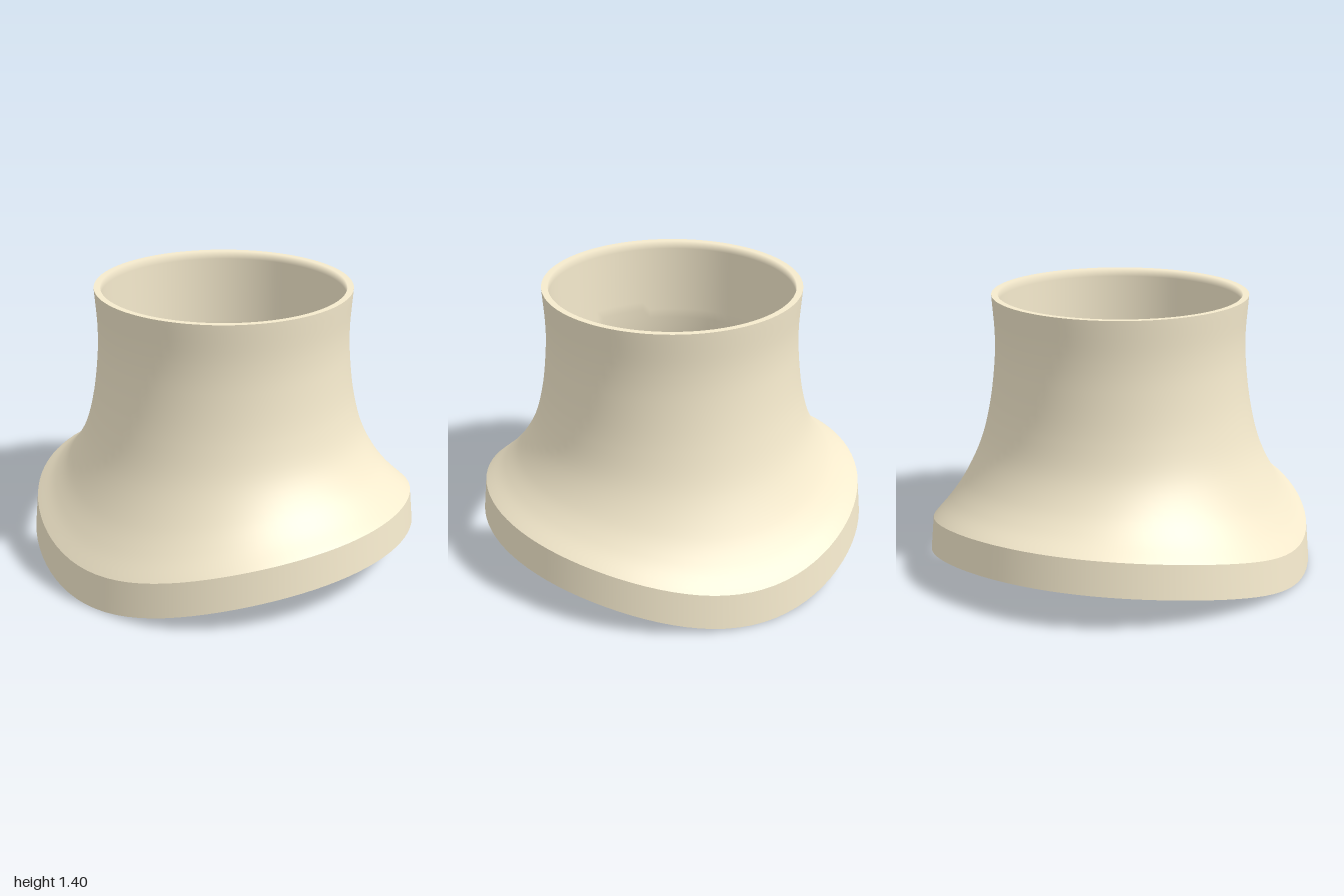
import * as THREE from 'three';
import { ParametricGeometry } from 'three/addons/geometries/ParametricGeometry.js';

const WALL = 0.032, BORE = 0.613, TOP = 1.4, RISE = 0.195;

// Outer wall profiles (radius, height): at the low sides and at the raised front/back
const curve = (pts) => new THREE.CatmullRomCurve3(pts.map(([r, y]) => new THREE.Vector3(r, y, 0)));
const sideProfile = curve([[0.982, 0.18], [0.9, 0.285], [0.82, 0.41], [0.728, 0.61],
  [0.673, 0.82], [0.641, 1.05], [0.635, 1.2], [0.647, TOP]]);
const frontProfile = curve([[0.982, 0.364], [0.885, 0.432], [0.802, 0.515], [0.722, 0.645],
  [0.67, 0.82], [0.64, 1.05], [0.635, 1.2], [0.647, TOP]]);

// Saddle shape of the hem: 0 in the middle (z = 0), 1 at the front and back (z = ±1)
const lift = (z) => 0.5 * z * z + 0.25 * (1 - Math.cos(Math.PI * z));

const outer = (angle, t) =>
  sideProfile.getPoint(t).lerp(frontProfile.getPoint(t), lift(Math.cos(angle)));

// Outer profile moved inwards by the wall thickness, with a straight bore at the neck
function inner(angle, t) {
  const p = outer(angle, t);
  const d = outer(angle, Math.min(1, t + 0.01)).sub(outer(angle, Math.max(0, t - 0.01))).normalize();
  return new THREE.Vector3(
    Math.max(BORE, p.x - d.y * WALL),
    t === 1 ? TOP : Math.min(TOP, p.y + d.x * WALL), 0);
}

const hem = (angle, radius) => new THREE.Vector3(radius, RISE * lift(radius * Math.cos(angle)), 0);

// Sweep a profile, given as (angle, v) -> radius and height, around the y axis
function sweep(name, profile, rows, material) {
  const geometry = new ParametricGeometry((u, v, target) => {
    const angle = u * Math.PI * 2;
    const p = profile(angle, Math.min(1, Math.max(0, v)));
    target.set(p.x * Math.sin(angle), p.y, p.x * Math.cos(angle));
  }, 96, rows);
  const mesh = new THREE.Mesh(geometry, material);
  mesh.name = name;
  return mesh;
}

// Straight strip between two edge lines
const between = (from, to) => (angle, v) => from(angle).lerp(to(angle), v);

export function createModel() {
  const group = new THREE.Group();
  group.name = 'flaredSaddleCollar';
  const material = new THREE.MeshStandardMaterial({ color: 0xf5eacd });

  // Edge lines shared by neighbouring strips
  const hemOuter = (a) => hem(a, 1);
  const hemInner = (a) => hem(a, 0.968);
  const rimOuter = (a) => outer(a, 0);
  const rimInner = (a) => inner(a, 0);
  const topOuter = (a) => outer(a, 1);
  const topInner = (a) => inner(a, 1);

  group.add(
    sweep('hemBand', between(hemOuter, rimOuter), 2, material),
    sweep('flaredWall', outer, 32, material),
    sweep('topLip', between(topOuter, topInner), 1, material),
    sweep('innerWall', (a, v) => inner(a, 1 - v), 32, material),
    sweep('innerHemBand', between(rimInner, hemInner), 2, material),
    sweep('bottomLip', between(hemInner, hemOuter), 1, material),
  );
  return group;
}
